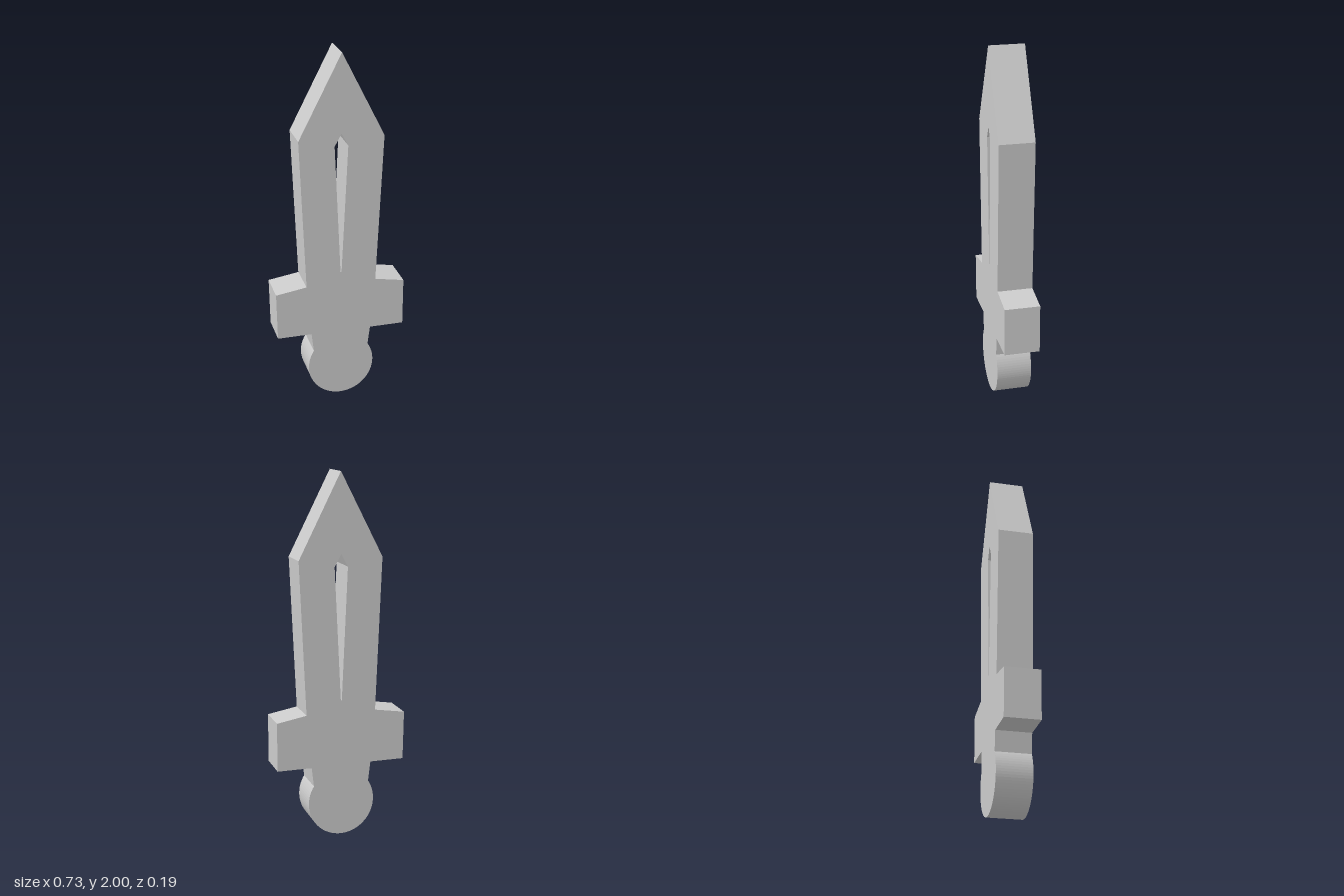
import * as THREE from 'three';

const DEPTH = 0.194;

const points = (list) => list.map(([x, y]) => new THREE.Vector2(x, y));

export function createModel() {
  const group = new THREE.Group();
  group.name = 'dagger';

  // Silhouette: right half of blade, guard and grip
  const outline = new THREE.Shape();
  outline.moveTo(0.003, 2);
  const right = [[0.235, 1.54], [0.197, 0.7], [0.362, 0.67], [0.362, 0.4], [0.17, 0.4], [0.157, 0.293]];
  right.forEach(([x, y]) => outline.lineTo(x, y));

  // Round pommel, swept clockwise under the grip
  const start = Math.asin((0.293 - 0.19) / 0.19);
  outline.absellipse(0, 0.19, 0.187, 0.19, start, Math.PI - start, true, 0);

  // Left half, back up to the tip
  const left = [[-0.157, 0.293], [-0.17, 0.403], [-0.361, 0.403], [-0.366, 0.673], [-0.195, 0.7], [-0.23, 1.545]];
  left.forEach(([x, y]) => outline.lineTo(x, y));
  outline.closePath();

  // Tapered slot through the blade
  outline.holes.push(new THREE.Path(points([
    [0.001, 1.57], [-0.036, 1.5], [-0.003, 0.77], [0.003, 0.77], [0.038, 1.5],
  ])));

  const geometry = new THREE.ExtrudeGeometry(outline, {
    depth: DEPTH, bevelEnabled: false, curveSegments: 28,
  });
  geometry.translate(0, 0, -DEPTH / 2);

  const material = new THREE.MeshStandardMaterial({ color: 0xcccccc, flatShading: true });
  const body = new THREE.Mesh(geometry, material);
  body.name = 'bladeGuardAndHilt';
  group.add(body);
  return group;
}
